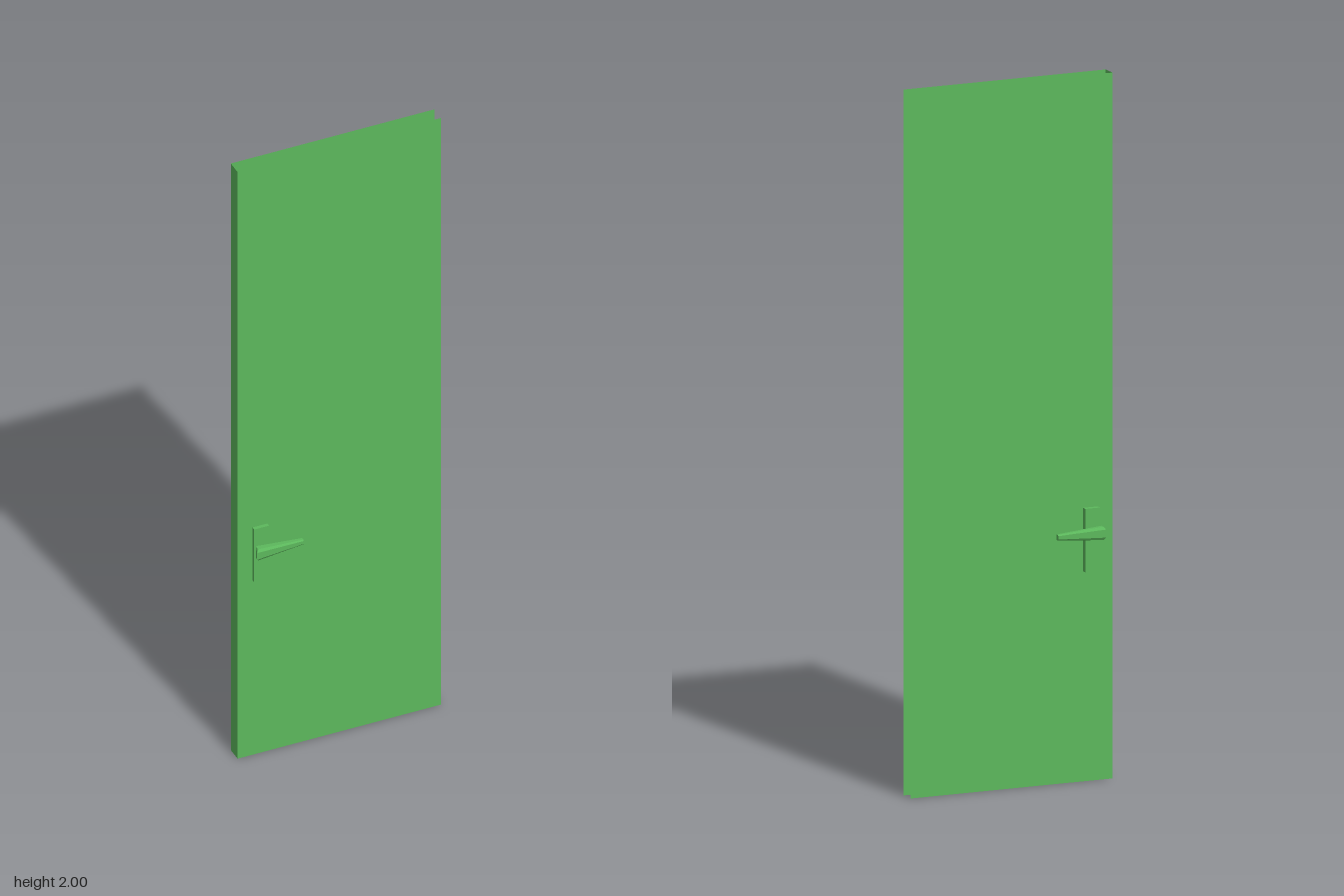
import * as THREE from 'three';
import { ConvexGeometry } from 'three/addons/geometries/ConvexGeometry.js';

const material = new THREE.MeshStandardMaterial({
  color: 0x5cb85c, flatShading: true, side: THREE.DoubleSide,
});

function addMesh(parent, name, geometry, x = 0, y = 0, z = 0) {
  const mesh = new THREE.Mesh(geometry, material);
  mesh.name = name;
  mesh.position.set(x, y, z);
  parent.add(mesh);
  return mesh;
}

// Tapered lever: six-sided section, bevelled on the outer side, with a pointed outer root
function leverGeometry(side, rootIn, rootOut, tipIn, tipOut) {
  const points = [];
  const section = (x, xOuter, y, half, zIn, zOut) => {
    for (const s of [-1, 1]) {
      points.push(
        new THREE.Vector3(x, y + s * half, side * zIn),
        new THREE.Vector3(x, y + s * half, side * THREE.MathUtils.lerp(zIn, zOut, 0.75)),
        new THREE.Vector3(xOuter, y + s * half * 0.6, side * zOut),
      );
    }
  };
  section(-0.264, -0.27, 0.706, 0.019, rootIn, rootOut);
  section(-0.125, -0.125, 0.706, 0.008, tipIn, tipOut);
  return new ConvexGeometry(points);
}

export function createModel() {
  const group = new THREE.Group();
  const width = 0.62, height = 2, halfDepth = 0.0225;

  // Door shell: two faces and the latch edge; hinge edge, top and bottom are open
  const door = new THREE.Group();
  door.name = 'door';
  group.add(door);
  const face = new THREE.PlaneGeometry(width, height);
  addMesh(door, 'frontFace', face, 0, height / 2, halfDepth);
  addMesh(door, 'backFace', face, 0, height / 2, -halfDepth).rotation.y = Math.PI;
  const edge = new THREE.PlaneGeometry(halfDepth * 2, height);
  addMesh(door, 'latchEdge', edge, -width / 2, height / 2, 0).rotation.y = -Math.PI / 2;

  // Lock plate running through the door
  addMesh(group, 'lockPlate', new THREE.BoxGeometry(0.045, 0.18, 0.073), -0.242, 0.685, -0.0025);

  // Lever handles on both sides
  addMesh(group, 'frontLever', leverGeometry(1, 0.044, 0.066, 0.048, 0.059));
  addMesh(group, 'backLever', leverGeometry(-1, 0.047, 0.067, 0.051, 0.062));

  return group;
}
